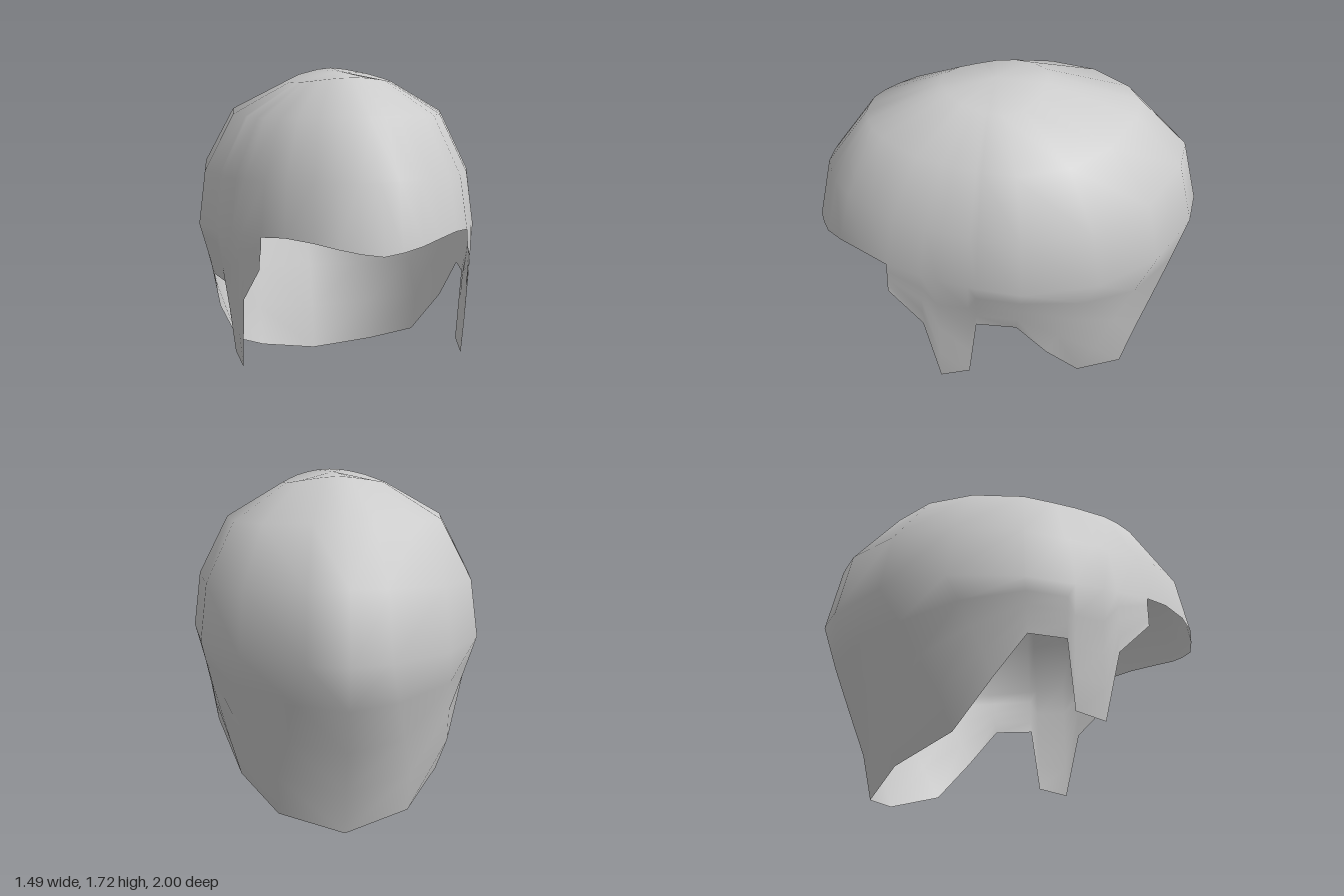
import * as THREE from 'three';
import { mergeVertices } from 'three/addons/utils/BufferGeometryUtils.js';

// Piecewise-linear lookup in [[key, value], ...] with rising keys, clamped at both ends
function lookup(table, k) {
  if (k <= table[0][0]) return table[0][1];
  for (let i = 1; i < table.length; i++) {
    const [k0, v0] = table[i - 1], [k1, v1] = table[i];
    if (k <= k1) return v0 + (v1 - v0) * (k - k0) / (k1 - k0);
  }
  return table[table.length - 1][1];
}

// Half plan outline, front to back: [z ratio, width ratio, height of the widest ring]
const OUTLINE = [
  [1, 0, 0.925], [0.98, 0.135, 0.937], [0.95, 0.27, 0.957], [0.88, 0.41, 0.977],
  [0.765, 0.565, 0.985], [0.647, 0.69, 0.97], [0.48, 0.795, 0.955], [0.402, 0.843, 0.95],
  [0.255, 0.908, 0.94], [0.216, 0.925, 0.935], [0, 1, 0.93], [-0.39, 0.94, 0.935],
  [-0.714, 0.685, 0.94], [-0.94, 0.27, 0.95], [-1, 0, 0.955],
];
const SHAPE = OUTLINE.map(([t, s]) => [t, s]).reverse();

// Dome rings: front z, y / half width, side y, side z / back z, y
const RINGS = [
  { front: [0.07, 1.722], side: [0, 1.722, 0.07], back: [0.07, 1.722] },
  { front: [0.34, 1.705], side: [0.27, 1.67, 0.05], back: [-0.2, 1.73] },
  { front: [0.72, 1.545], side: [0.56, 1.505, 0], back: [-0.67, 1.57] },
  { front: [0.93, 1.26], side: [0.71, 1.21, -0.02], back: [-0.92, 1.3] },
  { front: [1, 0.925], side: [0.745, 0.93, -0.02], back: [-1, 0.955] },
];

// Shell below the widest ring, by height
const Z0 = -0.02;
const WIDTH = [[0, 0.5], [0.2, 0.55], [0.25, 0.61], [0.66, 0.675], [0.93, 0.745]];
const FRONT_DEPTH = [[0.26, 2.5], [0.64, 1.33], [0.93, 1.02]];
const BACK_DEPTH = [[0.01, 0.69], [0.26, 0.74], [0.58, 0.86], [0.93, 0.98]];
const BACK_POWER = [[0, 0.6], [0.93, 1]];

// Lower rim [z, y] from temple to nape, one point per outline column
const FIRST = 5;
const RIM = [
  [0.64, 0.81], [0.47, 0.63], [0.39, 0.26], [0.24, 0.3], [0.2, 0.66],
  [0, 0.66], [-0.16, 0.443], [-0.34, 0.2], [-0.6, 0.08], [-0.71, 0.01],
];

function domePoint(ring, [t, s, rimY], isLast) {
  const { front, side, back } = ring;
  const end = t > 0 ? front : back;
  const a = Math.abs(t);
  const y = isLast ? rimY : side[1] + (end[1] - side[1]) * a * a;
  return [side[0] * s, y, side[2] + (end[0] - side[2]) * a];
}

// q is a distance ahead of the middle, or a negative ratio of the back depth
function skirtPoint(q, y) {
  const back = q < 0;
  const t = back ? q : q / lookup(FRONT_DEPTH, y);
  const s = Math.max(0, lookup(SHAPE, t));
  const x = lookup(WIDTH, y) * (back ? Math.pow(s, lookup(BACK_POWER, y)) : s);
  return [x, y, Z0 + (back ? q * lookup(BACK_DEPTH, y) : q)];
}

// Add the quads of rows of points, together with their mirror image
function addRows(out, rows, pole) {
  const tri = (a, b, c) => {
    out.push(...a, ...b, ...c);
    for (const p of [a, c, b]) out.push(-p[0], p[1], p[2]);
  };
  for (let k = 0; k < rows.length - 1; k++) {
    for (let i = 0; i < rows[k].length - 1; i++) {
      const a = rows[k][i], b = rows[k][i + 1];
      const c = rows[k + 1][i + 1], d = rows[k + 1][i];
      tri(a, d, c);
      if (!pole || k > 0) tri(a, c, b);
    }
  }
}

export function createModel() {
  const group = new THREE.Group();
  group.name = 'hairShell';
  const positions = [];

  // Dome from crown to brow line
  const dome = RINGS.map((ring, k) =>
    OUTLINE.map((col) => domePoint(ring, col, k === RINGS.length - 1)));
  addRows(positions, dome, true);

  // Skirt with temple steps, sideburns and nape
  const STEPS = 4;
  const skirt = [];
  for (let r = 0; r <= STEPS; r++) {
    skirt.push(RIM.map(([rimZ, rimY], i) => {
      const [t, , topY] = OUTLINE[FIRST + i];
      if (r === 0) return dome[dome.length - 1][FIRST + i];
      const topQ = t < 0 ? t : t * 1.02;
      const d = rimZ - Z0;
      const rimQ = d < 0 ? Math.max(-1, d / lookup(BACK_DEPTH, rimY)) : d;
      const f = r / STEPS;
      return skirtPoint(topQ + (rimQ - topQ) * f, topY + (rimY - topY) * f);
    }));
  }
  addRows(positions, skirt, false);

  // One welded, smooth, open surface
  let geometry = new THREE.BufferGeometry();
  geometry.setAttribute('position', new THREE.Float32BufferAttribute(positions, 3));
  geometry = mergeVertices(geometry, 1e-4);
  geometry.computeVertexNormals();
  const material = new THREE.MeshStandardMaterial({ color: 0xcccccc, side: THREE.DoubleSide });
  const mesh = new THREE.Mesh(geometry, material);
  mesh.name = 'hairCap';
  group.add(mesh);
  return group;
}
